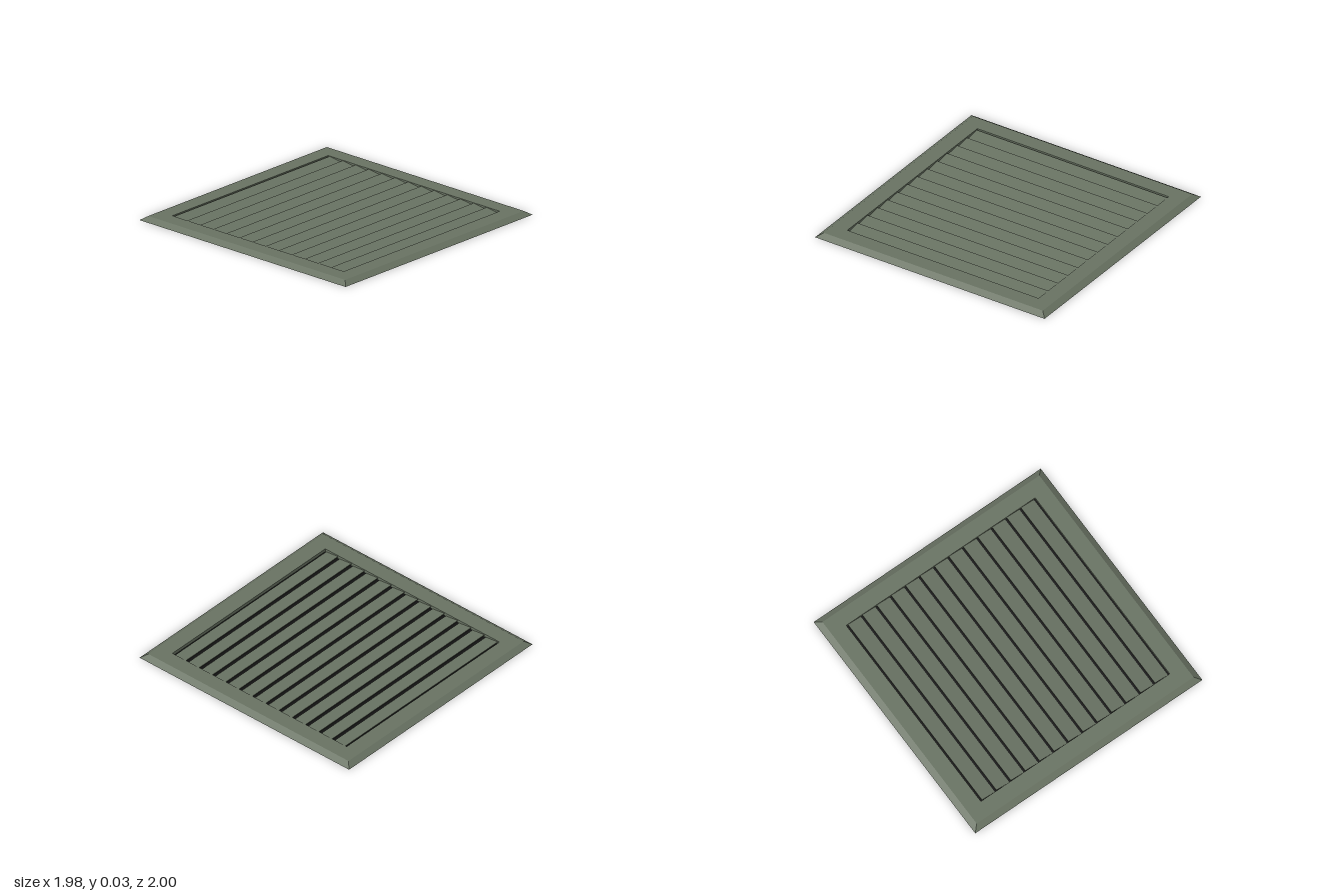
import * as THREE from 'three';

const HX = 0.99, HZ = 1.0;    // half size of the frame
const IX = 0.825, IZ = 0.832; // half size of the opening
const H = 0.03, BEVEL = 0.045;

// Sweeps a profile of rectangular rings [halfX, halfZ, y] into a closed frame
function ringFrame(rings) {
  const corner = ([x, z, y], i) => [[x, y, z], [x, y, -z], [-x, y, -z], [-x, y, z]][i % 4];
  const pos = [];
  rings.forEach((a, k) => {
    const b = rings[(k + 1) % rings.length];
    for (let i = 0; i < 4; i++) {
      const p = corner(a, i), q = corner(a, i + 1), r = corner(b, i + 1), s = corner(b, i);
      pos.push(...p, ...q, ...r, ...p, ...r, ...s);
    }
  });
  const geo = new THREE.BufferGeometry();
  geo.setAttribute('position', new THREE.Float32BufferAttribute(pos, 3));
  geo.computeVertexNormals();
  return geo;
}

export function createModel() {
  const group = new THREE.Group();
  group.name = 'ventGrille';
  const green = new THREE.MeshStandardMaterial({ color: 0x687262 });
  const black = new THREE.MeshStandardMaterial({ color: 0x111111 });

  // Bevelled outer frame
  const frame = new THREE.Mesh(ringFrame([
    [HX, HZ, 0],
    [HX - BEVEL, HZ - BEVEL, H],
    [IX, IZ, H],
    [IX, IZ, 0],
  ]), green);
  frame.name = 'frame';
  group.add(frame);

  // Dark plate closing the back of the opening
  const plate = new THREE.Mesh(new THREE.BoxGeometry(IX * 2, 0.002, IZ * 2), black);
  plate.name = 'backPlate';
  plate.position.y = 0.004;
  group.add(plate);

  // Tilted louvre slats, rear edge raised
  const count = 13, pitch = 0.127;
  const slatGeo = new THREE.BoxGeometry(IX * 2 - 0.006, 0.005, 0.114);
  const slats = new THREE.Group();
  slats.name = 'slats';
  for (let i = 0; i < count; i++) {
    const slat = new THREE.Mesh(slatGeo, green);
    slat.name = 'slat';
    slat.position.set(0.002, 0.0175, (i - (count - 1) / 2) * pitch);
    slat.rotation.x = 0.13;
    slats.add(slat);
  }
  group.add(slats);
  return group;
}
